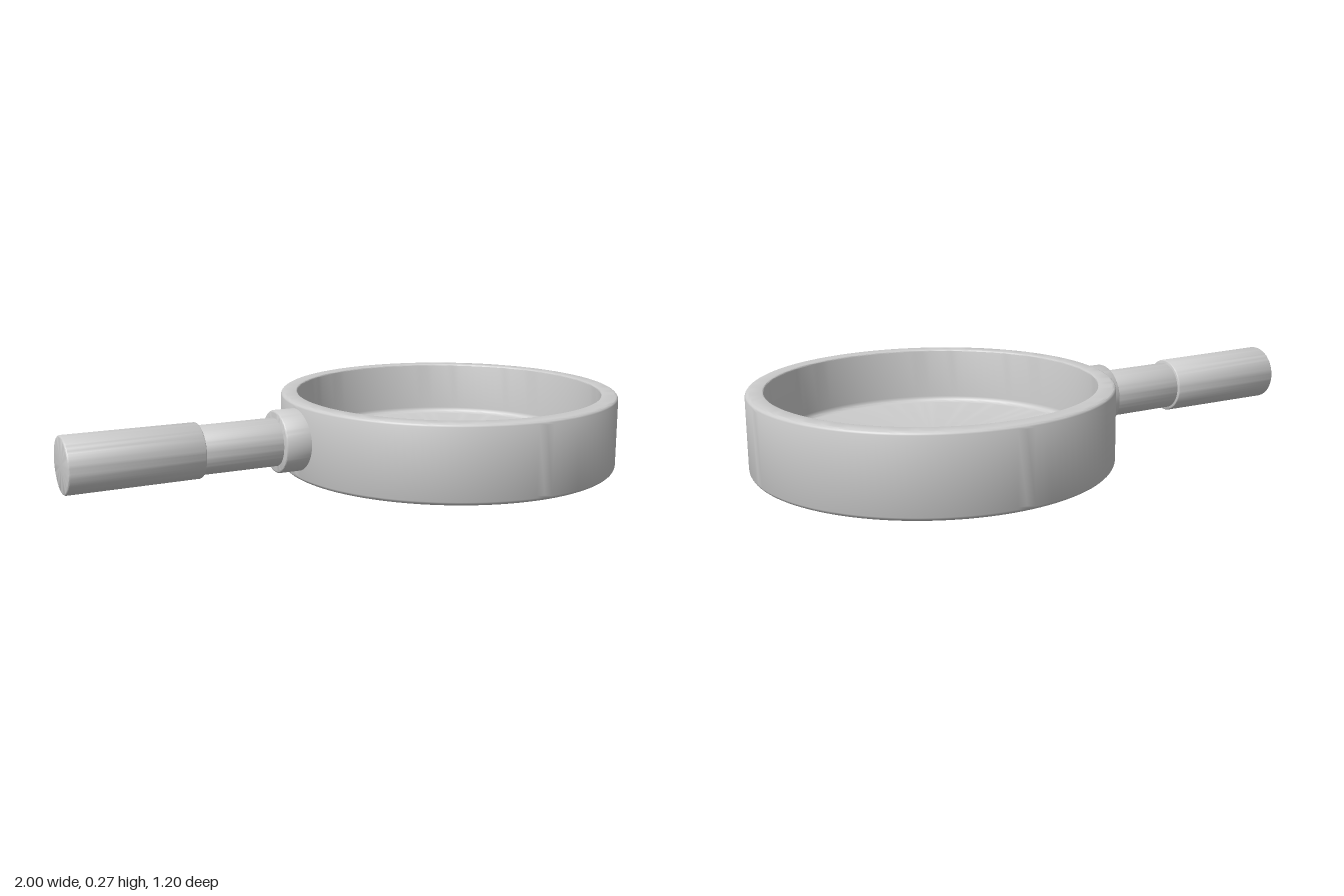
import * as THREE from 'three';
import { toCreasedNormals } from 'three/addons/utils/BufferGeometryUtils.js';

const material = new THREE.MeshStandardMaterial({ color: 0xcccccc });

// Quarter-round corner about (cx, cy), sweeping from angle a0 to a1 in degrees
function corner(cx, cy, r, a0, a1, steps = 5) {
  return Array.from({ length: steps + 1 }, (_, i) => {
    const a = THREE.MathUtils.degToRad(a0 + ((a1 - a0) * i) / steps);
    return [cx + r * Math.cos(a), cy + r * Math.sin(a)];
  });
}

function turned(name, profile, segments) {
  const points = profile.map(([r, y]) => new THREE.Vector2(r, y));
  const geometry = toCreasedNormals(new THREE.LatheGeometry(points, segments), 0.6);
  const mesh = new THREE.Mesh(geometry, material);
  mesh.name = name;
  return mesh;
}

// Solid rod along x from x0 to x1 with softly rounded ends
function rod(name, x0, x1, r0, r1, bevel) {
  const length = x1 - x0;
  const mesh = turned(name, [
    [0, 0],
    ...corner(r0 - bevel, bevel, bevel, -90, 0, 4),
    ...corner(r1 - bevel, length - bevel, bevel, 0, 90, 4),
    [0, length],
  ], 64);
  mesh.rotation.z = -Math.PI / 2;
  mesh.position.x = x0;
  return mesh;
}

export function createModel() {
  const model = new THREE.Group();
  model.name = 'fryingPan';

  // Bowl: rounded base, straight wall, soft rim, inner wall and filleted floor
  const bowl = turned('bowl', [
    [0, 0],
    ...corner(0.58, 0.02, 0.02, -90, 0),
    ...corner(0.585, 0.252, 0.015, 0, 90),
    ...corner(0.546, 0.262, 0.005, 90, 180, 3),
    ...corner(0.521, 0.09, 0.02, 0, -90),
    [0, 0.07],
  ], 128);
  bowl.position.x = 0.4;
  model.add(bowl);

  // Handle: collar against the bowl, slim shaft and thicker grip
  const handle = new THREE.Group();
  handle.name = 'handle';
  handle.position.y = 0.143;
  handle.add(
    rod('collar', -0.28, -0.165, 0.107, 0.107, 0.008),
    rod('shaft', -0.6, -0.17, 0.082, 0.082, 0.004),
    rod('grip', -1, -0.552, 0.095, 0.093, 0.006),
  );
  model.add(handle);

  return model;
}
